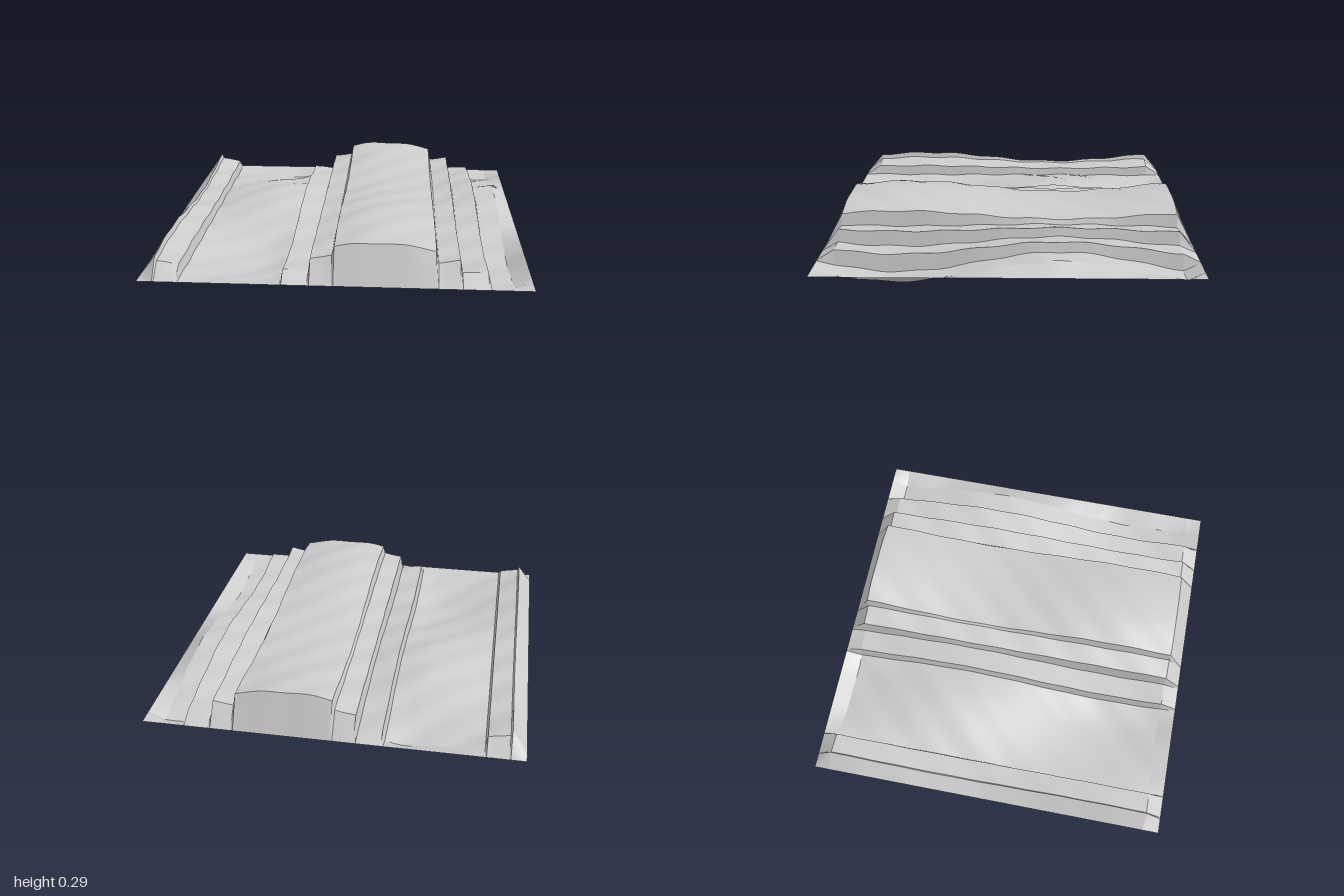
import * as THREE from 'three';

const BASE = 0.075; // height of the outer border
const INNER = 0.91; // where the sloping border begins

// Terraces across x: points are [x, height where steps are tall, height where steps are shallow]
const terraces = [
  ['leftRim', [[-0.92, 0.197, 0.14], [-0.912, 0.165, 0.13], [-0.8, 0.135, 0.12]]],
  ['valley', [[-0.79, 0.075, 0.078], [-0.62, 0.034, 0.115], [-0.45, 0.01, 0.133], [-0.36, 0.013, 0.127], [-0.277, 0.03, 0.115]]],
  ['lowerStepWest', [[-0.265, 0.1, 0.165], [-0.137, 0.09, 0.14]]],
  ['upperStepWest', [[-0.125, 0.19, 0.19], [-0.015, 0.21, 0.2]]],
  ['plateau', [[-0.003, 0.272, 0.212], [0.1, 0.292, 0.222], [0.2, 0.299, 0.227], [0.35, 0.289, 0.224], [0.51, 0.257, 0.215]]],
  ['upperStepEast', [[0.523, 0.175, 0.19], [0.633, 0.185, 0.21]]],
  ['lowerStepEast', [[0.645, 0.105, 0.163], [0.773, 0.11, 0.183]]],
  ['eastLowland', [[0.787, 0.018, 0.132], [0.91, 0.014, 0.132]]],
];

// Step contrast swells and fades along z, with fine diagonal ripples on top
const swell = (z) => 0.5 + 0.5 * Math.cos((2 * Math.PI * (z - 0.58)) / 1.7);
const ripple = (x, z) => 0.004 * Math.sin(21 * (x + z));

function height(p, z) {
  if (Math.abs(p.x) > 0.99 || Math.abs(z) > 0.99) return BASE;
  return THREE.MathUtils.lerp(p.z, p.y, swell(z)) + ripple(p.x, z);
}

// Grid surface over profile columns and z rows
function patch(columns, rows) {
  const positions = [];
  const index = [];
  const n = rows.length;
  columns.forEach((p, i) => {
    rows.forEach((z, j) => {
      positions.push(p.x, height(p, z), z);
      if (i && j) {
        const a = (i - 1) * n + j - 1, b = a + 1, c = a + n, d = c + 1;
        index.push(a, b, d, a, d, c);
      }
    });
  });
  const geometry = new THREE.BufferGeometry();
  geometry.setAttribute('position', new THREE.Float32BufferAttribute(positions, 3));
  geometry.setIndex(index);
  geometry.computeVertexNormals();
  return geometry;
}

export function createModel() {
  const model = new THREE.Group();
  model.name = 'terracedTerrain';
  const stone = new THREE.MeshStandardMaterial({ color: 0xcccccc, side: THREE.DoubleSide });
  stone.name = 'paleGrey';

  const middle = Array.from({ length: 73 }, (_, i) => -INNER + (2 * INNER * i) / 72);
  const bands = [['Top', middle], ['FrontSlope', [INNER, 1]], ['BackSlope', [-1, -INNER]]];

  // Each section is a flat top plus its front and back border slopes
  function addSection(name, columns) {
    const section = new THREE.Group();
    section.name = name;
    for (const [suffix, rows] of bands) {
      const mesh = new THREE.Mesh(patch(columns, rows), stone);
      mesh.name = name + suffix;
      section.add(mesh);
    }
    model.add(section);
  }

  // Border on the -x side, terraces joined by steep cliffs, border on the +x side
  let last = new THREE.Vector3(-1, BASE, BASE);
  terraces.forEach(([name, points], i) => {
    const pts = points.map((p) => new THREE.Vector3(...p));
    addSection(i ? name + 'Cliff' : 'westBorder', [last, pts[0]]);
    let columns;
    if (i === 0) {
      // Sharp crest before the rim's gentle slope
      addSection('rimCrest', [pts[0], pts[1]]);
      columns = new THREE.LineCurve3(pts[1], pts[2]).getPoints(5);
    } else {
      const curve = new THREE.CatmullRomCurve3(pts);
      columns = curve.getPoints(pts.length > 2 ? 20 : 5);
    }
    addSection(name, columns);
    last = pts[pts.length - 1];
  });
  addSection('eastBorder', [last, new THREE.Vector3(1, BASE, BASE)]);

  // Rest the lowest point on the ground
  const box = new THREE.Box3().setFromObject(model);
  model.children.forEach((part) => { part.position.y = -box.min.y; });
  return model;
}
